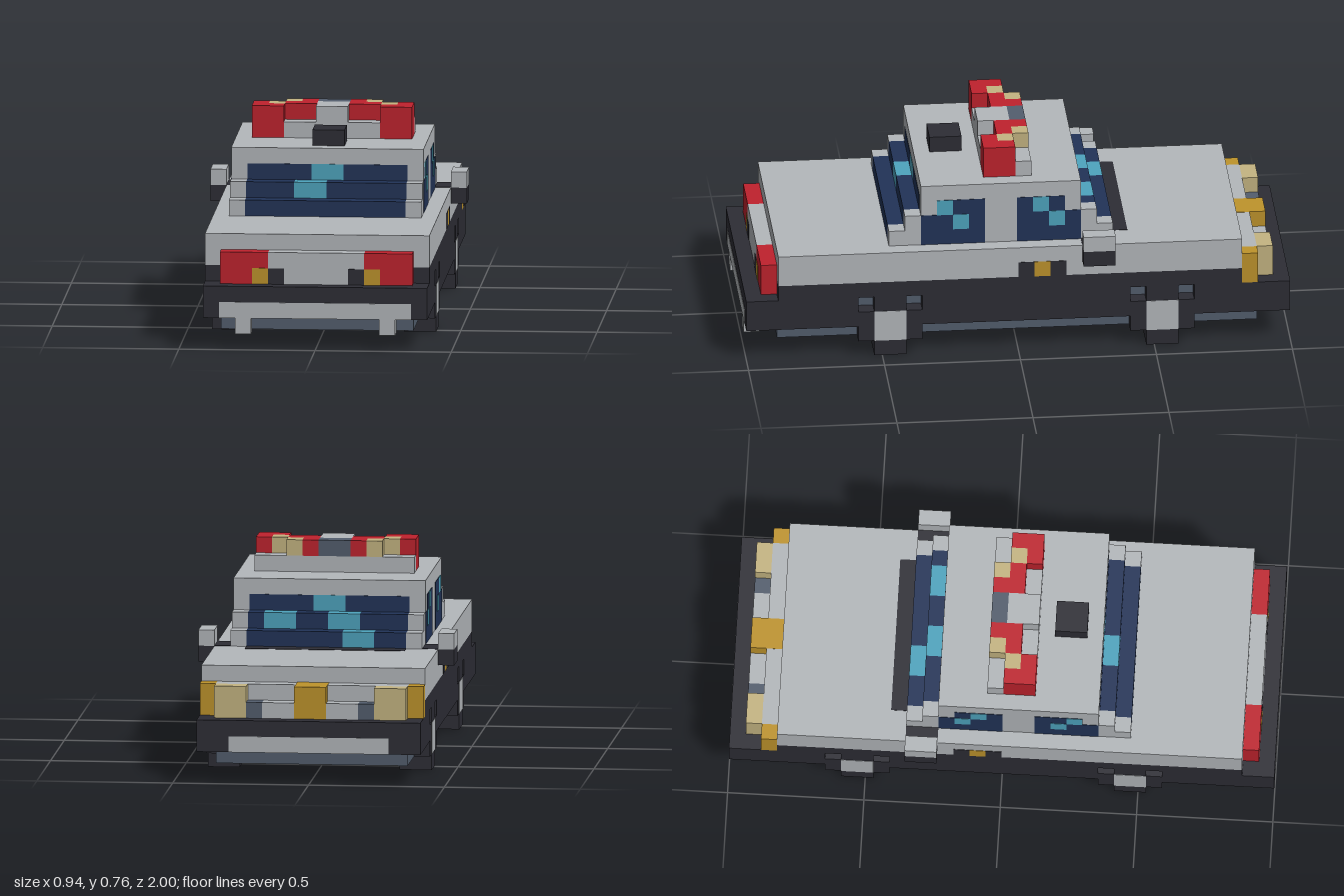
import * as THREE from 'three';

const U = 1 / 17; // one block
const T = 0.05;   // plate thickness in blocks

function mat(name, color) {
  const m = new THREE.MeshStandardMaterial({ color });
  m.name = name;
  return m;
}

export function createModel() {
  const grey = mat('bodyGrey', 0xb4b8bc), black = mat('trimBlack', 0x2d2d35);
  const slate = mat('slate', 0x535e6e), navy = mat('glassNavy', 0x213358);
  const cyan = mat('glassShine', 0x4ea5bf), red = mat('lampRed', 0xc0222d);
  const gold = mat('lampGold', 0xbf942b), tan = mat('lampCream', 0xc5b582);

  const car = new THREE.Group();
  car.name = 'car';

  // Block between two corners, measured in block units
  function box(name, m, x0, x1, y0, y1, z0, z1) {
    const g = new THREE.BoxGeometry((x1 - x0) * U, (y1 - y0) * U, (z1 - z0) * U);
    const mesh = new THREE.Mesh(g, m);
    mesh.position.set((x0 + x1) / 2 * U, (y0 + y1) / 2 * U, (z0 + z1) / 2 * U);
    mesh.name = name;
    car.add(mesh);
  }
  // The same block on both sides
  function pair(name, m, x0, x1, ...yz) {
    box(name + 'Left', m, x0, x1, ...yz);
    box(name + 'Right', m, -x1, -x0, ...yz);
  }
  // Row of glass blocks from x -5 to 5 with shiny stretches
  function glassRow(name, shines, ...yz) {
    let x = -5;
    for (const [a, b] of shines) {
      box(name, navy, x, a, ...yz);
      box(name + 'Shine', cyan, a, b, ...yz);
      x = b;
    }
    box(name, navy, x, 5, ...yz);
  }

  // Chassis and bumpers
  box('underbody', slate, -6, 6, 1, 4, -15, 15);
  box('bumperFront', black, -6, 6, 2, 4, 15, 17);
  box('bumperBack', black, -6, 6, 2, 4, -17, -15);
  box('bumperStripFront', grey, -6, 6, 2, 3, 17 - T, 17 + T / 2);
  box('bumperStripBack', grey, -5, 5, 2, 3, -17 - T / 2, -17 + T);
  pair('tailpipe', grey, 4, 5, 1, 2, 16, 17);

  // Sills with openings at the wheel arch corners
  const sill = new THREE.Shape([[-17, 2], [17, 2], [17, 4], [-17, 4]].map(([x, y]) => new THREE.Vector2(x * U, y * U)));
  for (const z of [6, 9, -8, -11]) {
    const corners = [[z, 3], [z, 3.99], [z + 1, 3.99], [z + 1, 3]];
    sill.holes.push(new THREE.Path(corners.map(([x, y]) => new THREE.Vector2(-x * U, y * U))));
  }
  const sillGeo = new THREE.ExtrudeGeometry(sill, { depth: U, bevelEnabled: false }).rotateY(Math.PI / 2);
  for (const [name, x] of [['sillLeft', 6], ['sillRight', -7]]) {
    const mesh = new THREE.Mesh(sillGeo, black);
    mesh.position.x = x * U;
    mesh.name = name;
    car.add(mesh);
  }

  // Wheels
  for (const z of [8, -9]) {
    pair('tyre', black, 5, 7, 1, 3, z - 2, z + 2);
    pair('tyreTread', black, 5, 7, 0, 1, z - 1, z + 1);
    pair('hub', grey, 7 - T, 7 + T / 2, 1, 3, z - 1, z + 1);
  }

  // Body
  box('lowerBody', black, -7, 7, 4, 5, -14, 15);
  box('upperBody', grey, -7, 7, 5, 7, -14, 15);
  pair('doorTrim', black, 7 - T, 7 + T / 2, 5, 6, -3, -2);
  pair('doorMarker', gold, 7 - T, 7 + T / 2, 5, 6, -2, -1);
  pair('doorTrim', black, 7 - T, 7 + T / 2, 5, 6, -1, 0);

  // Red lamps on the +z end
  box('lampPanel', grey, -3, 3, 4, 6, 15, 16);
  pair('redLamp', red, 3, 6, 4, 6, 15, 16);
  pair('lampCorner', gold, 3, 4, 4, 5, 16 - T, 16 + T / 2);
  pair('lampTrim', black, 2, 3, 4, 5, 16 - T, 16 + T / 2);

  // Headlamps and grille on the -z end
  box('grillePanel', grey, -6, 6, 4, 6, -15, -14);
  pair('cornerLamp', gold, 6, 7, 4, 6, -15, -14);
  pair('headlamp', tan, 4, 6, 4, 6, -16, -15);
  pair('grilleVent', slate, 3, 4, 4, 5, -16, -15);
  pair('grilleBar', grey, 1, 3, 4, 5, -16, -15);
  box('grilleBadge', gold, -1, 1, 4, 6.02, -16, -14);

  // Cabin with stepped glass at both ends
  box('cabin', grey, -6, 6, 7, 11, -4, 6);
  pair('pillarStep', grey, 5, 6, 7, 8, 6, 8);
  pair('pillarStep', grey, 5, 6, 8, 9, 6, 7);
  pair('pillarStep', grey, 5, 6, 7, 8, -6, -4);
  pair('pillarStep', grey, 5, 6, 8, 9, -5, -4);
  glassRow('frontGlassLow', [], 7, 8, 6, 8);
  glassRow('frontGlassMid', [[-2, 0]], 8, 9, 6, 7);
  glassRow('frontGlassTop', [[-1, 1]], 9, 10, 6 - T, 6 + T / 2);
  glassRow('backGlassLow', [[-3, -1]], 7, 8, -6, -4);
  glassRow('backGlassMid', [[-2, 0], [2, 4]], 8, 9, -5, -4);
  glassRow('backGlassTop', [[-1, 1]], 9, 10, -4 - T / 2, -4 + T);
  box('wiperCowl', black, -5, 5, 7 - T, 7 + T / 2, -7, -6);

  // Side windows
  const s0 = 6 - T, s1 = 6 + T / 2, s2 = 6 + T;
  pair('sideWindowA', navy, s0, s1, 7, 9, 2, 6);
  pair('sideWindowA', navy, s0, s1, 9, 10, 2, 5);
  pair('sideWindowB', navy, s0, s1, 7, 9, -4, 0);
  pair('sideWindowB', navy, s0, s1, 9, 10, -3, 0);
  for (const z of [4, -2]) {
    pair('sideShine', cyan, s0, s2, 9, 10, z, z + 1);
    pair('sideShine', cyan, s0, s2, 8, 9, z - 1, z);
  }

  // Mirrors
  pair('mirrorMount', black, 6, 7, 7 - T, 7 + T / 2, -6, -4);
  pair('mirrorArm', black, 7, 8, 6, 7, -6, -4);
  pair('mirror', grey, 7, 8, 7, 8, -6, -4);

  // Roof light bar and vent
  box('lightBarBase', grey, -3, 3, 11, 12, -1, 2);
  pair('lightBarFoot', grey, 3, 5, 11, 12, -1, 0);
  box('lightBarCentre', grey, -1, 1, 12, 13, 0, 2);
  box('lightBarVent', slate, -1, 1, 12, 13, -1, 0);
  pair('beaconOuter', red, 3, 5, 11, 13, 1, 2);
  pair('beaconEnd', red, 4, 5, 11, 13, 0, 1);
  pair('beaconUnder', red, 3, 4, 11, 12, 0, 1);
  pair('beaconLampOuter', tan, 3, 4, 12, 13, 0, 1);
  pair('beaconInner', red, 1, 3, 12, 13, 0, 1);
  pair('beaconLampInner', tan, 2, 3, 12, 13, -1, 0);
  pair('beaconTip', red, 1, 2, 12, 13, -1, 0);
  box('roofVent', black, -1, 1, 11, 12, 3, 5);

  return car;
}
